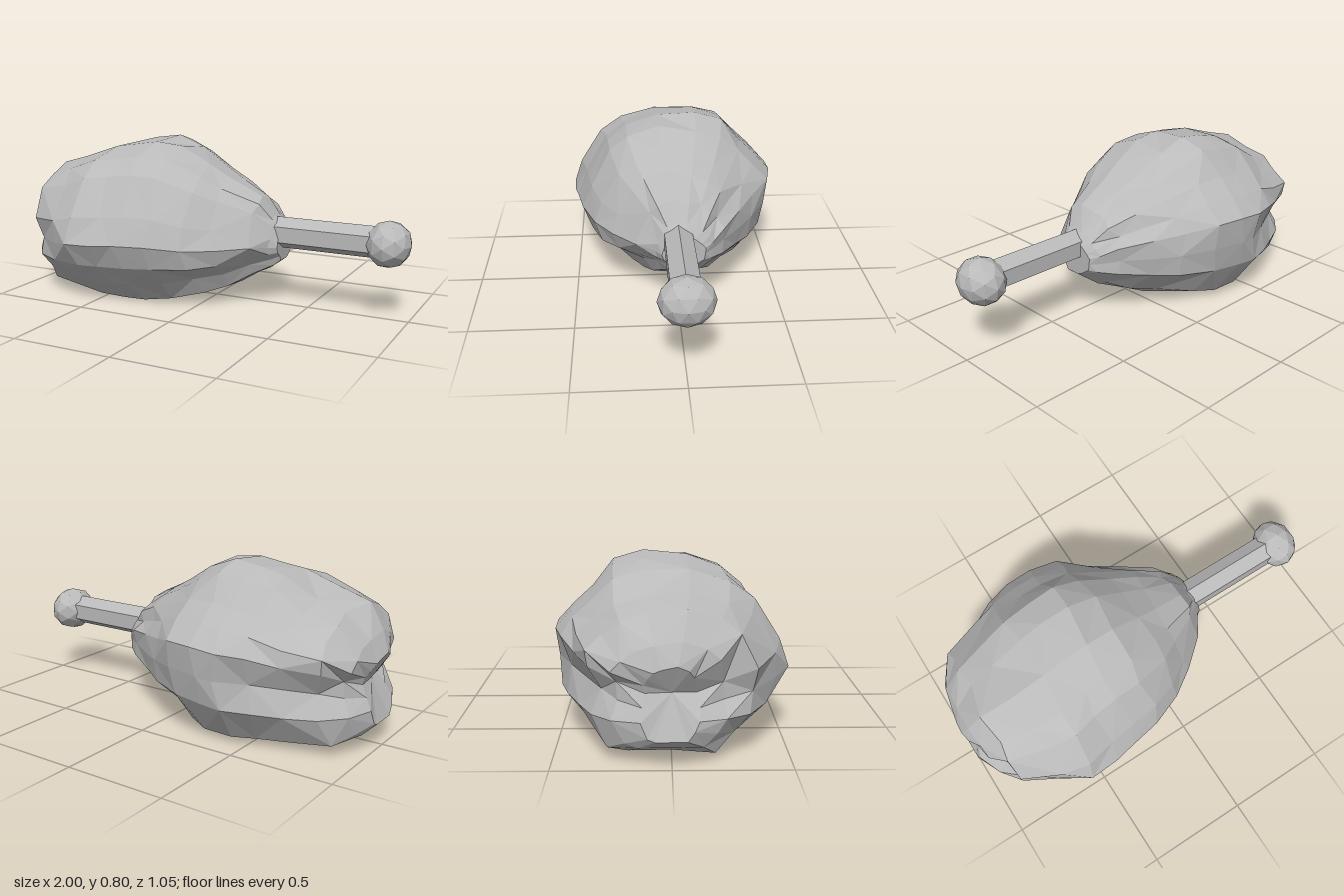
import * as THREE from 'three';

const { smoothstep, clamp } = THREE.MathUtils;

// Drumstick-shaped low-poly piece: lumpy body, bone shaft and knob along x
export function createModel() {
  const group = new THREE.Group();
  const grey = new THREE.MeshStandardMaterial({ color: 0xbababa, flatShading: true });
  grey.name = 'grey';

  const add = (name, geometry) => {
    const mesh = new THREE.Mesh(geometry, grey);
    mesh.name = name;
    group.add(mesh);
    return mesh;
  };

  let seed = 11;
  const rand = () => {
    seed = (seed * 16807) % 2147483647;
    return (seed / 2147483647) * 2 - 1;
  };

  // Cross-section outline, z in -1..1 and y in 0..1, from bottom front over the top
  const outline = [
    [0.5, 0], [0.72, 0.13], [0.89, 0.26], [1, 0.41], [0.89, 0.575], [0.67, 0.81],
    [0.48, 0.91], [0.15, 0.98], [-0.24, 1], [-0.5, 0.95], [-0.68, 0.8], [-0.85, 0.7],
    [-1, 0.59], [-0.98, 0.42], [-0.94, 0.25], [-0.72, 0.04], [-0.5, 0], [0, 0],
  ];
  // Stations: x, bottom y, top y, back z, front z
  const stations = [
    [-1, 0.12, 0.44, -0.14, 0.13], [-0.955, 0.08, 0.535, -0.27, 0.26],
    [-0.86, 0.03, 0.655, -0.37, 0.37], [-0.7, 0.015, 0.7, -0.43, 0.455],
    [-0.55, 0.005, 0.765, -0.49, 0.525], [-0.42, 0, 0.78, -0.53, 0.51],
    [-0.3, 0, 0.8, -0.52, 0.495], [-0.15, 0.015, 0.785, -0.495, 0.475],
    [0, 0.05, 0.7, -0.4, 0.41], [0.12, 0.09, 0.635, -0.32, 0.32],
    [0.25, 0.155, 0.55, -0.23, 0.2], [0.33, 0.205, 0.455, -0.17, 0.11],
    [0.365, 0.23, 0.41, -0.13, 0.08],
  ];

  // Body lofted through the stations: uneven, boxier at the blunt end, rounder below
  // near the bone, with a groove that wraps the blunt end and runs along the back
  const n = outline.length, last = stations.length - 1;
  const points = [], index = [];
  stations.forEach(([sx, bottom, top, back, front], i) => {
    const loose = i === 0 || i === last ? 0 : i === 1 || i === last - 1 ? 0.3 : 1;
    const shoulder = 1 + 0.15 * smoothstep(-sx, 0.4, 0.8);
    const keel = 1 - 0.3 * smoothstep(sx, -0.3, 0.1);
    const lean = 0.06 * Math.max(smoothstep(sx, -0.3, -0.1), smoothstep(-sx, 0.45, 0.7));
    const blunt = smoothstep(-sx, 0.8, 0.94);
    const backRun = smoothstep(-sx, 0.3, 0.85);
    outline.forEach(([u, v]) => {
      const w = clamp(u * (v > 0.5 ? shoulder : v < 0.2 ? keel : 1), -1, 1);
      const y = bottom + (top - bottom) * (u < -0.2 && v > 0.9 ? v - lean : v);
      const groove = Math.exp(-(((y - 0.31) / 0.075) ** 2));
      const inset = groove * (u < 0 ? 0.2 * backRun : 0.22 * blunt);
      points.push(
        sx + 0.025 * rand() * loose + groove * blunt * (u > 0.4 ? 0.09 : 0.06),
        y,
        w * (u > 0 ? front : -back) * (1 + 0.015 * rand() * loose) * (1 - inset),
      );
    });
  });
  for (let i = 0; i < last; i++) {
    for (let j = 0; j < n; j++) {
      const k = (j + 1) % n;
      const a = i * n + j, b = a + n, c = i * n + k, d = c + n;
      if ((i + j) % 2) index.push(a, b, d, a, d, c);
      else index.push(a, b, c, b, d, c);
    }
  }
  // End caps
  points.push(-0.93, 0.31, 0, 0.365, 0.34, 0);
  const capA = (last + 1) * n, capB = capA + 1;
  for (let j = 0; j < n; j++) {
    const k = (j + 1) % n;
    index.push(capA, j, k, capB, last * n + k, last * n + j);
  }
  const body = new THREE.BufferGeometry();
  body.setAttribute('position', new THREE.Float32BufferAttribute(points, 3));
  body.setIndex(index);
  body.computeVertexNormals();
  add('body', body);

  // Bone shaft
  const shaft = new THREE.CylinderGeometry(0.077, 0.077, 0.56, 6, 1, false, Math.PI / 6);
  shaft.rotateZ(Math.PI / 2);
  add('boneShaft', shaft).position.set(0.57, 0.366, 0);

  // Bone knob
  const knob = add('boneKnob', new THREE.IcosahedronGeometry(0.116, 1));
  knob.scale.set(0.92, 0.97, 1.1);
  knob.position.set(0.893, 0.363, 0);

  return group;
}
